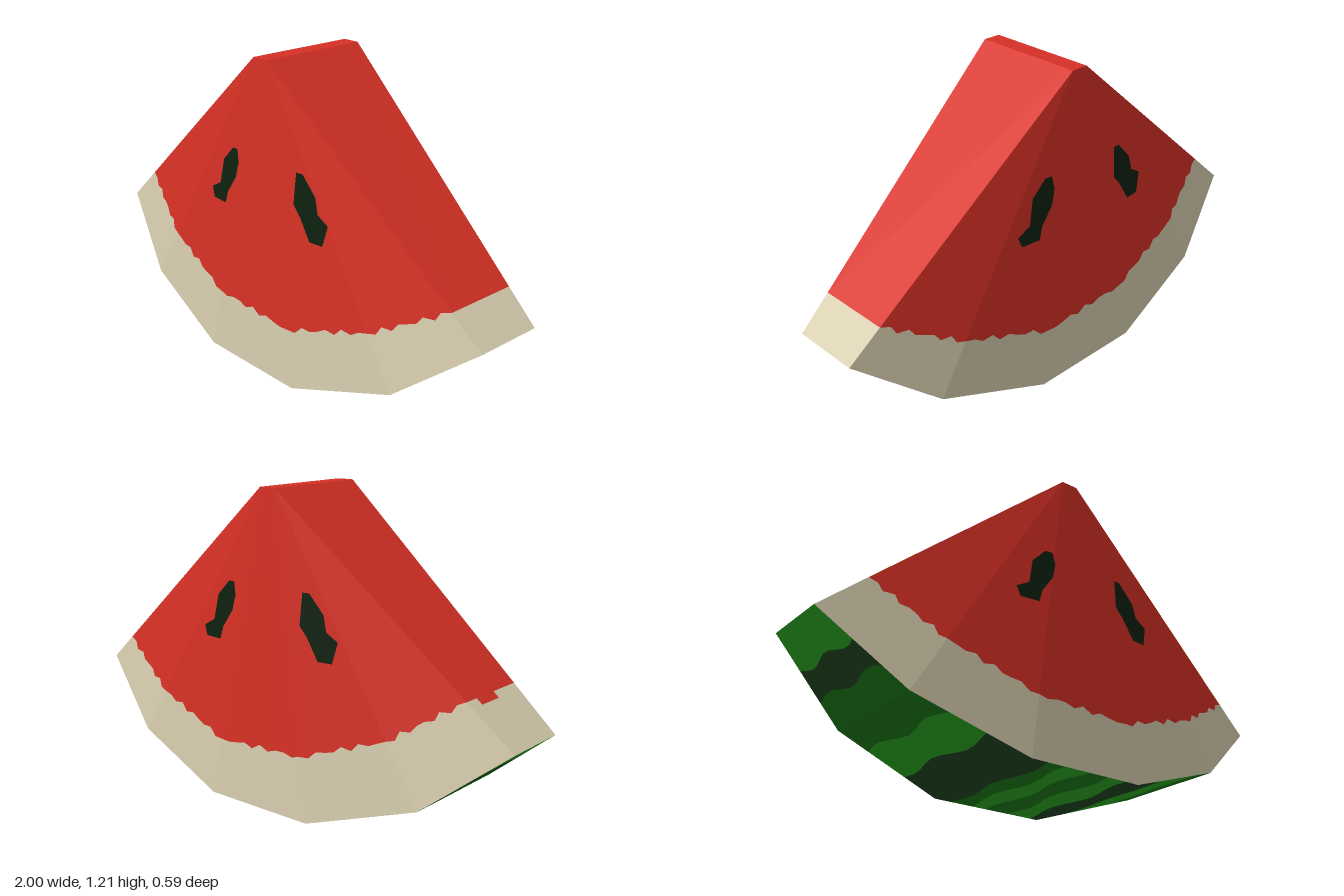
import * as THREE from 'three';

const mat = (name, color) => new THREE.MeshStandardMaterial({ name, color, side: THREE.DoubleSide });

// Half-slice rim corners: x, y, half thickness; the tip is a narrow ridge
const half = [[1, 0.4, 0.138], [0.69, 0.15, 0.236], [0.24, 0, 0.295]];
const tip = [0.035, 1.21, 0.226];
const flip = ([x, y, z]) => [-x, y, z];
const rim = [...half.map(flip), ...[...half].reverse()];
const tips = rim.map((_, i) => (i < 3 ? flip(tip) : tip));
const fleshEdge = [0.815, 0.79, 0.797, 0.812, 0.82, 0.868];

const lerp = THREE.MathUtils.lerp;
// s runs 0..5 along the rim, t from tip to rim, w from back (-1) to front (1)
function point(s, t, w) {
  const i = Math.min(4, Math.floor(s)), u = s - i;
  const [x, y, z] = [0, 1, 2].map(k =>
    lerp(lerp(tips[i][k], tips[i + 1][k], u), lerp(rim[i][k], rim[i + 1][k], u), t));
  return [x, y, z * w];
}

function fleshLimit(s) {
  const i = Math.min(4, Math.floor(s));
  const ragged = Number.isInteger(s) ? 0 : 0.009 * Math.sin(s * 37);
  return lerp(fleshEdge[i], fleshEdge[i + 1], s - i) + ragged;
}

// Mesh of flat quads, each four [s, t, w] corners, counter-clockwise from outside
function quadMesh(name, material, quads) {
  const pos = [];
  for (const q of quads) {
    const [a, b, c, d] = q.map(p => point(...p));
    pos.push(...a, ...b, ...c, ...a, ...c, ...d);
  }
  const g = new THREE.BufferGeometry();
  g.setAttribute('position', new THREE.Float32BufferAttribute(pos, 3));
  g.computeVertexNormals();
  const m = new THREE.Mesh(g, material);
  m.name = name;
  return m;
}

// Height of the faceted front face above the middle plane
function faceZ(x, y) {
  const dx = Math.abs(x) - tip[0], dy = y - tip[1];
  const middle = tip[2] - 0.057 * dy;
  const side = tip[2] - 0.106 * dx - 0.075 * dy;
  return Math.min(middle, side);
}

// Thin seed plate lying on the front (1) or back (-1) face
function seed(name, material, outline, side) {
  const g = new THREE.ShapeGeometry(new THREE.Shape(outline.map(p => new THREE.Vector2(...p))));
  const p = g.attributes.position;
  for (let i = 0; i < p.count; i++) p.setZ(i, side * (faceZ(p.getX(i), p.getY(i)) + 0.005));
  if (side < 0) {
    const idx = g.index.array;
    for (let i = 0; i < idx.length; i += 3) [idx[i], idx[i + 1]] = [idx[i + 1], idx[i]];
  }
  g.computeVertexNormals();
  const m = new THREE.Mesh(g, material);
  m.name = name;
  return m;
}

export function createModel() {
  const group = new THREE.Group();
  group.name = 'melonSlice';
  const red = mat('fleshRed', 0xd63025);
  const cream = mat('rindCream', 0xd6ccae);
  const black = mat('seedBlack', 0x0d200e);
  const skin = {
    bright: mat('skinBright', 0x2bb022),
    mid: mat('skinMid', 0x1d7d18),
    dark: mat('skinDark', 0x224722),
  };

  // Front and back faces: flesh above a ragged line, pale rind below
  const flesh = [], rind = [], steps = 10;
  for (let n = 0; n < 5 * steps; n++) {
    const a = n / steps, b = (n + 1) / steps;
    const ta = fleshLimit(a), tb = fleshLimit(b);
    for (const w of [1, -1]) {
      const f = [[a, ta, w], [b, tb, w], [b, 0, w], [a, 0, w]];
      const r = [[a, 1, w], [b, 1, w], [b, tb, w], [a, ta, w]];
      flesh.push(w > 0 ? f : f.reverse());
      rind.push(w > 0 ? r : r.reverse());
    }
  }

  // Narrow ridge at the tip
  flesh.push([[2, 0, 1], [3, 0, 1], [3, 0, -1], [2, 0, -1]]);

  // Cut ends; the right one has a small notch in its flesh line
  const ends = [[5, -1, 1, 0.868], [0, -1, -0.6, 0.815], [0, -0.6, 0.1, 0.838], [0, 0.1, 1, 0.815]];
  for (const [s, w0, w1, t] of ends) {
    const f = [[s, t, w1], [s, t, w0], [s, 0, w0], [s, 0, w1]];
    const r = [[s, 1, w1], [s, 1, w0], [s, t, w0], [s, t, w1]];
    flesh.push(s ? f : f.reverse());
    rind.push(s ? r : r.reverse());
  }
  group.add(quadMesh('flesh', red, flesh), quadMesh('rind', cream, rind));

  // Striped skin: each band ends at the given place along the rim
  const bands = [
    ['bright', 0.4], ['dark', 0.7], ['mid', 1], ['mid', 1.3], ['bright', 1.65], ['dark', 2],
    ['dark', 2.15], ['mid', 2.32], ['bright', 2.5], ['mid', 2.7], ['bright', 2.9], ['dark', 3],
    ['dark', 3.3], ['bright', 3.75], ['mid', 4], ['mid', 4.28], ['dark', 4.74], ['bright', 5],
  ];
  const wavy = (s, w) => (Number.isInteger(s) ? s : s + 0.035 * Math.sin(w * 5 + s * 11));
  const skinQuads = { bright: [], mid: [], dark: [] };
  let start = 0;
  for (const [tone, end] of bands) {
    for (let k = 0; k < 10; k++) {
      const w0 = -1 + k / 5, w1 = w0 + 0.2;
      skinQuads[tone].push([[wavy(start, w0), 1, w0], [wavy(end, w0), 1, w0],
        [wavy(end, w1), 1, w1], [wavy(start, w1), 1, w1]]);
    }
    start = end;
  }
  for (const tone in skinQuads) group.add(quadMesh(tone + 'Skin', skin[tone], skinQuads[tone]));

  // Seeds, two on each face
  const rightSeed = [[-0.14, 0.85], [-0.2, 0.79], [-0.22, 0.69], [-0.275, 0.66], [-0.26, 0.62],
    [-0.18, 0.62], [-0.165, 0.67], [-0.115, 0.74], [-0.1, 0.8], [-0.11, 0.85]];
  const leftSeed = [[0.21, 0.84], [0.205, 0.72], [0.24, 0.68], [0.29, 0.6], [0.35, 0.6],
    [0.37, 0.68], [0.32, 0.71], [0.305, 0.77], [0.24, 0.84]];
  const moved = (outline, dx, dy) => outline.map(([x, y]) => [x + dx, y + dy]);
  const mirrored = outline => outline.map(([x, y]) => [-x, y]).reverse();
  group.add(
    seed('frontRightSeed', black, [...rightSeed], 1),
    seed('frontLeftSeed', black, [...leftSeed], 1),
    seed('backLeftSeed', black, moved(mirrored(rightSeed), 0.045, 0), -1),
    seed('backRightSeed', black, moved(mirrored(leftSeed), 0.03, 0.01), -1),
  );
  return group;
}
